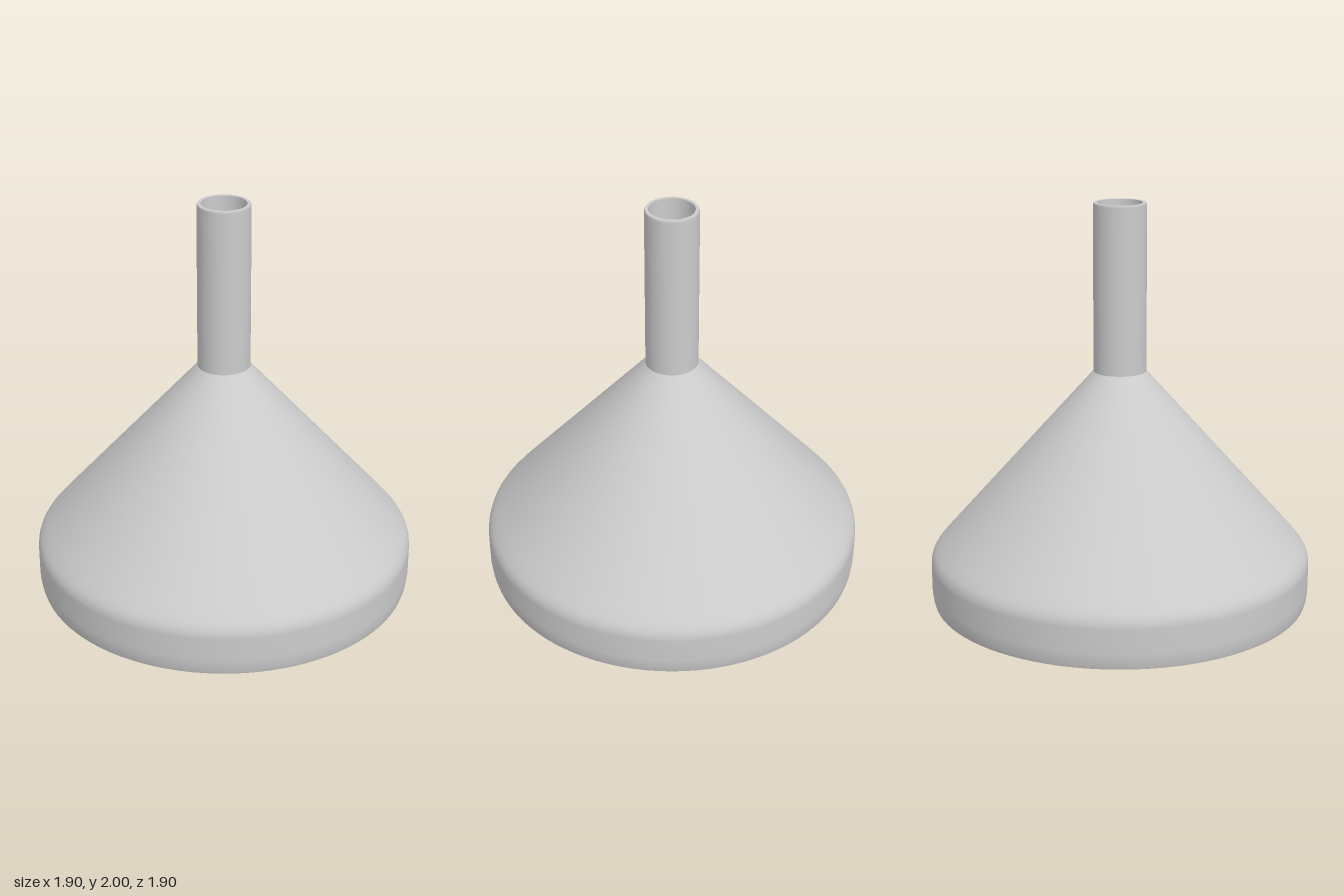
import * as THREE from 'three';

const SEGMENTS = 96;
const WALL = 0.02;

// Revolve a profile of [radius, height] points; rising profiles face outward
function revolve(name, points, material) {
  const profile = points.map(([r, y]) => new THREE.Vector2(r, y));
  const mesh = new THREE.Mesh(new THREE.LatheGeometry(profile, SEGMENTS), material);
  mesh.name = name;
  return mesh;
}

export function createModel() {
  const group = new THREE.Group();
  group.name = 'funnel';
  const material = new THREE.MeshStandardMaterial({ color: 0xcccccc });

  // Upright rim, rounded shoulder and straight cone
  const bowl = [
    [0.938, 0], [0.944, 0.02], [0.949, 0.055], [0.95, 0.08], [0.95, 0.2],
    [0.948, 0.22], [0.941, 0.243], [0.928, 0.265], [0.905, 0.293],
    [0.88, 0.322], [0.13, 1.17],
  ];
  const spout = [[0.13, 1.17], [0.13, 1.99], [0.126, 2]];

  // Inner wall follows the outer one, running downward so that it faces inward
  const bowlInner = bowl.map(([r, y]) => [r - WALL, y > 0.2 ? y - 0.01 : y]).reverse();
  const spoutInner = [[0.11, 2], [0.11, 1.16]];

  group.add(
    revolve('bowl', bowl, material),
    revolve('spout', spout, material),
    revolve('spoutLip', [[0.126, 2], [0.11, 2]], material),
    revolve('spoutInside', spoutInner, material),
    revolve('bowlInside', bowlInner, material),
    revolve('rimEdge', [[0.918, 0], [0.938, 0]], material),
  );
  return group;
}
